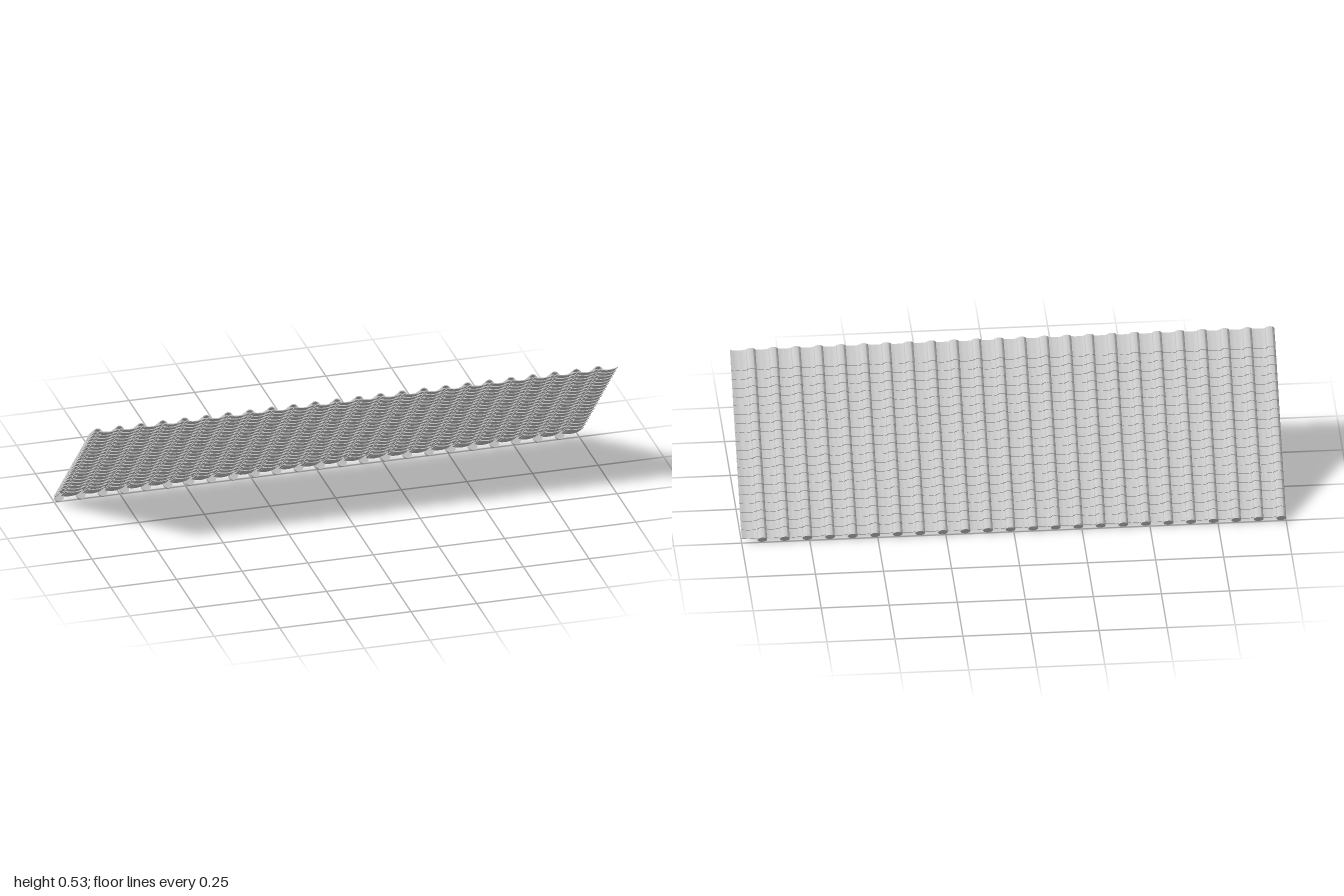
import * as THREE from 'three';
import { mergeGeometries, toCreasedNormals } from 'three/addons/utils/BufferGeometryUtils.js';

const COLUMNS = 24, ROWS = 20;
const PITCH = 0.0829;      // spacing between columns
const STEP = 0.0238;       // each course drops and moves back by this much
const TILE_LENGTH = 0.081;
const TILT = -0.613;       // each tile lies flatter than the whole slope
const FIRST_X = -0.982, TOP_Y = 0.471, TOP_Z = 0.2;

// Curved tile: a ring segment extruded up the slope from its lower end
function tile(centerY, outer, inner, start, end, segments) {
  const shape = new THREE.Shape();
  shape.absarc(0, centerY, outer, start, end, false);
  shape.absarc(0, centerY, inner, end, start, true);
  const geometry = new THREE.ExtrudeGeometry(shape, {
    depth: TILE_LENGTH, bevelEnabled: false, curveSegments: segments
  });
  return toCreasedNormals(geometry, 0.6).rotateX(TILT);
}

// Repeat one piece across all columns for the given courses
function lay(name, piece, offsetX, firstRow, material) {
  const copies = [];
  for (let row = firstRow; row < ROWS; row++) {
    for (let col = 0; col < COLUMNS; col++) {
      copies.push(piece.clone().translate(
        FIRST_X + offsetX + col * PITCH, TOP_Y - row * STEP, TOP_Z - row * STEP));
    }
  }
  const mesh = new THREE.Mesh(mergeGeometries(copies), material);
  mesh.name = name;
  return mesh;
}

export function createModel() {
  const roof = new THREE.Group();
  roof.name = 'tiledRoofSlope';
  const material = new THREE.MeshStandardMaterial({ color: 0xcccccc });

  // Convex cover tiles over the joints
  const cover = tile(0, 0.018, 0.0145, 0, Math.PI, 10);
  roof.add(lay('coverTiles', cover, 0, 0, material));

  // Shallow concave pan tiles between them
  const down = -Math.PI / 2, half = 0.345;
  const pan = tile(0.0996, 0.102, 0.0988, down - half, down + half, 8);
  roof.add(lay('panTiles', pan, PITCH / 2, 0, material));

  // Round end caps along the eave
  const cap = new THREE.CylinderGeometry(0.018, 0.018, 0.011, 20)
    .rotateX(Math.PI / 2).rotateX(TILT);
  roof.add(lay('eaveCaps', cap, 0, ROWS - 1, material));

  return roof;
}
